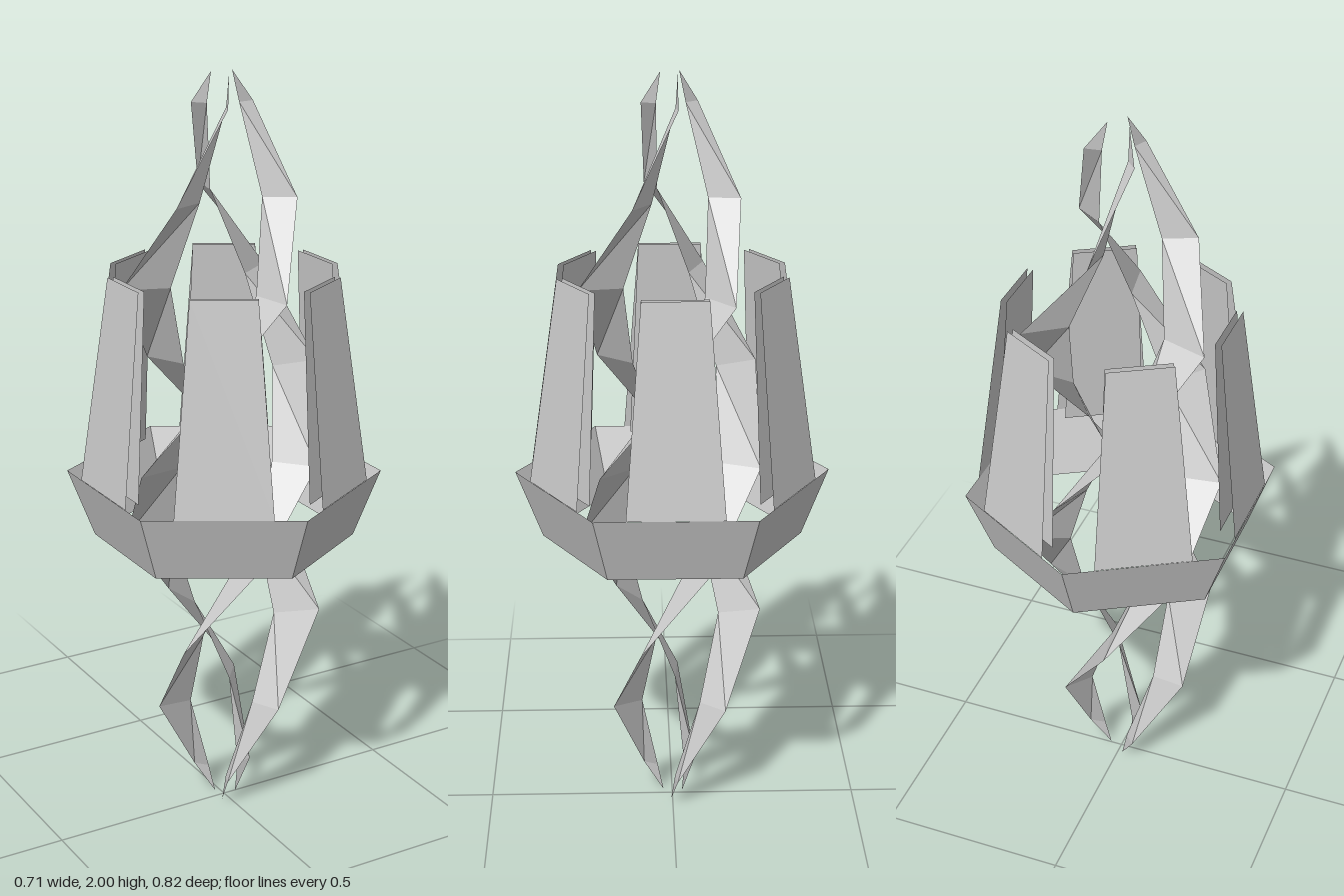
import * as THREE from 'three';

const material = new THREE.MeshStandardMaterial({
  color: 0xcccccc, flatShading: true, side: THREE.DoubleSide,
});

// Surface spanned between successive pairs of points [a, b]
function strip(pairs, name) {
  const index = [];
  for (let i = 0; i < pairs.length - 1; i++) {
    const k = i * 2;
    index.push(k, k + 1, k + 2, k + 1, k + 3, k + 2);
  }
  const geometry = new THREE.BufferGeometry();
  geometry.setAttribute('position', new THREE.Float32BufferAttribute(pairs.flat(2), 3));
  geometry.setIndex(index);
  geometry.computeVertexNormals();
  const mesh = new THREE.Mesh(geometry, material);
  mesh.name = name;
  return mesh;
}

// Leaning trapezoid facing +x: radius and half width at the foot and the top
function leaningSheet(footR, footW, topR, topW, name) {
  return strip([
    [[footR, 0.96, footW], [footR, 0.96, -footW]],
    [[topR, 1.5, topW], [topR, 1.5, -topW]],
  ], name);
}

// Twisted ribbon: each row turns 45 degrees, both ends close to a point
function createStrand(turn) {
  const radii = [0.083, 0.174, 0.242, 0.242, 0.242, 0.242, 0.242, 0.172, 0.083];
  const point = (r, degrees, y) => {
    const a = THREE.MathUtils.degToRad(degrees + turn);
    return [1.1 * r * Math.cos(a), y, r * Math.sin(a)];
  };
  const rows = radii.map((r, i) => {
    const angle = 111.4 - 45 * i;
    const y = 0.08 + 0.23 * i;
    return [point(r * 0.52, angle, y), point(r, angle, y)];
  });
  const foot = point(0.03, 127, 0);
  const tip = point(0.03, 111.4 - 360 - 16, 2);
  return strip([[foot, foot], ...rows, [tip, tip]], 'strand');
}

export function createModel() {
  const model = new THREE.Group();
  model.name = 'twistedLantern';

  // Open, flared hexagonal collar
  const collar = new THREE.Mesh(
    new THREE.CylinderGeometry(0.411, 0.342, 0.18, 6, 1, true), material);
  collar.name = 'hexagonalCollar';
  collar.position.y = 0.87;
  model.add(collar);

  // Double-skinned panel on each side of the collar
  for (let i = 0; i < 6; i++) {
    const panel = new THREE.Group();
    panel.name = 'panel';
    panel.add(leaningSheet(0.355, 0.124, 0.288, 0.083, 'outerSkin'));
    panel.add(leaningSheet(0.31, 0.108, 0.272, 0.083, 'innerSkin'));
    panel.rotation.y = i * Math.PI / 3;
    model.add(panel);
  }

  // Three intertwined strands
  const core = new THREE.Group();
  core.name = 'core';
  for (let i = 0; i < 3; i++) core.add(createStrand(i * 120));
  model.add(core);

  return model;
}
